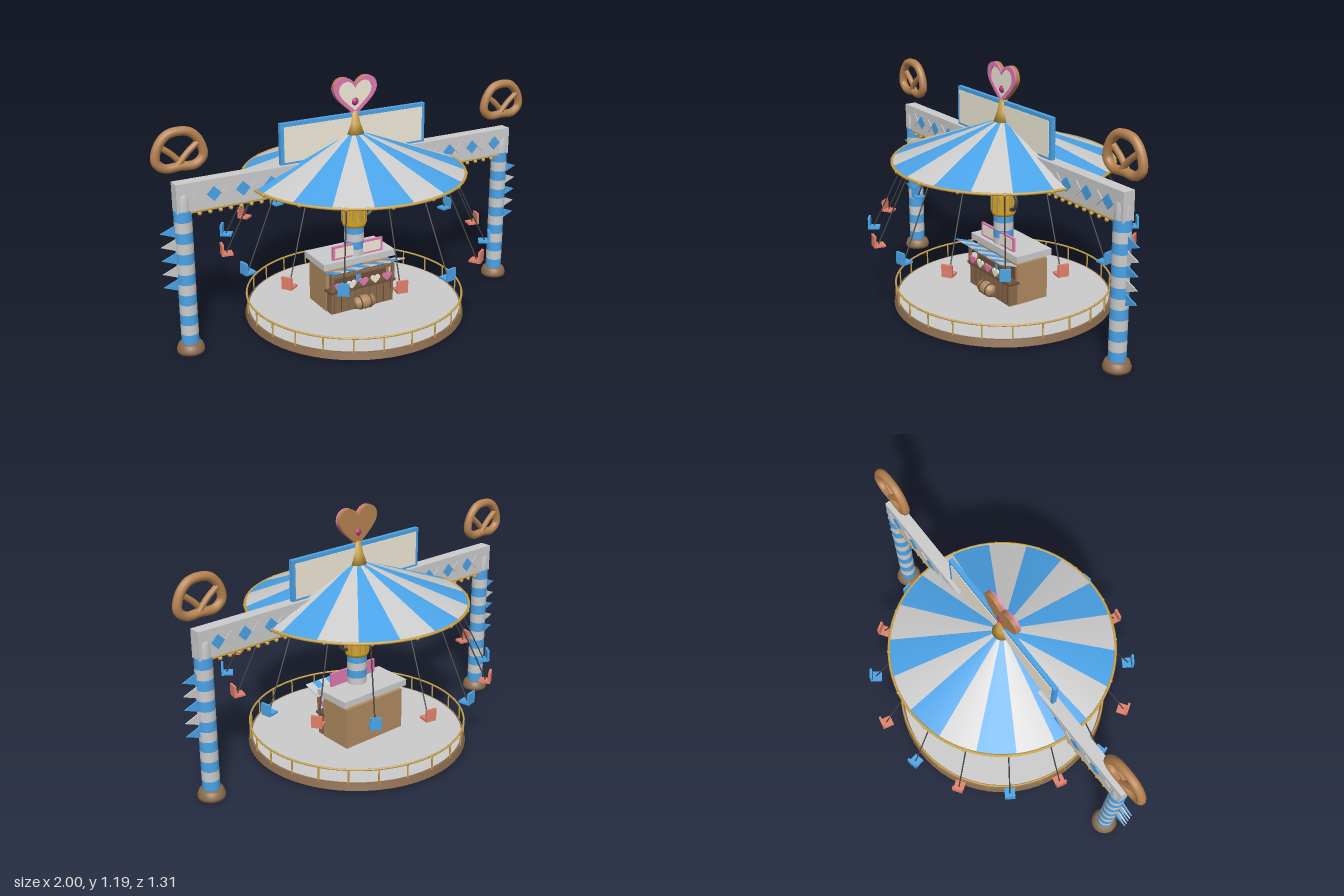
import * as THREE from 'three';

const PI = Math.PI;
const C = { grey: 0xcccccc, blue: 0x4aa3e8, gold: 0xc9a24a, beer: 0xd9a520, brown: 0x8a6a4c, dark: 0x6b5038,
  tan: 0xb08a60, dough: 0xb5814f, cream: 0xf0ead8, pink: 0xe07ab0, magenta: 0xb8357f, red: 0xe0806a, iron: 0x444444 };
const mats = {};
const mat = (name) => mats[name] ??= new THREE.MeshStandardMaterial({ color: C[name], side: THREE.DoubleSide });

function add(parent, name, geo, color, x = 0, y = 0, z = 0) {
  const m = new THREE.Mesh(geo, mat(color));
  m.name = name;
  m.position.set(x, y, z);
  parent.add(m);
  return m;
}
const group = (parent, name) => {
  const g = new THREE.Group();
  g.name = name;
  parent.add(g);
  return g;
};
const box = (w, h, d) => new THREE.BoxGeometry(w, h, d);
const cyl = (rt, rb, h, n = 24) => new THREE.CylinderGeometry(rt, rb, h, n);
const lathe = (pts, n = 32) => new THREE.LatheGeometry(pts.map((p) => new THREE.Vector2(...p)), n);
const extrude = (shape, depth) => new THREE.ExtrudeGeometry(shape, { depth, bevelEnabled: false, curveSegments: 12 });

// Thin rod between two points
function rod(parent, name, a, b, r, color) {
  return add(parent, name, new THREE.TubeGeometry(new THREE.LineCurve3(a, b), 1, r, 6), color);
}

function heartPath(s, Type = THREE.Shape) {
  const p = new Type();
  p.moveTo(0, -0.85 * s);
  p.bezierCurveTo(-0.35 * s, -0.5 * s, -s, -0.1 * s, -s, 0.3 * s);
  p.bezierCurveTo(-s, 0.85 * s, -0.25 * s, 0.95 * s, 0, 0.4 * s);
  p.bezierCurveTo(0.25 * s, 0.95 * s, s, 0.85 * s, s, 0.3 * s);
  p.bezierCurveTo(s, -0.1 * s, 0.35 * s, -0.5 * s, 0, -0.85 * s);
  return p;
}

function polygon(pts) {
  return new THREE.Shape(pts.map((p) => new THREE.Vector2(...p)));
}

// Alternating coloured bands stacked into a column
function bands(parent, name, r, y0, h, count, first = 0) {
  for (let i = 0; i < count; i++)
    add(parent, name, cyl(r, r, h), (i + first) % 2 ? 'grey' : 'blue', 0, y0 + (i + 0.5) * h, 0);
}

function platform(root) {
  const g = group(root, 'platform');
  add(g, 'platformBase', cyl(0.535, 0.545, 0.033, 64), 'brown', 0, 0.0265, 0);
  add(g, 'platformFloor', cyl(0.525, 0.525, 0.004, 64), 'grey', 0, 0.043, 0);
  add(g, 'railing', new THREE.TorusGeometry(0.535, 0.005, 8, 64), 'gold', 0, 0.114, 0).rotation.x = PI / 2;
  for (let i = 0; i < 24; i++) {
    const a = (i * PI) / 12;
    add(g, 'railingPost', cyl(0.004, 0.004, 0.075, 8), 'gold', 0.535 * Math.sin(a), 0.077, 0.535 * Math.cos(a));
  }
}

function booth(root) {
  const g = group(root, 'booth');
  add(g, 'boothBody', box(0.36, 0.21, 0.175), 'tan', 0, 0.148, -0.047);
  add(g, 'boothOpening', box(0.32, 0.07, 0.004), 'dark', 0, 0.205, 0.042);
  add(g, 'counter', box(0.35, 0.11, 0.045), 'brown', 0, 0.1, 0.063);
  add(g, 'counterTop', box(0.37, 0.012, 0.06), 'dark', 0, 0.16, 0.065);
  for (let i = -4; i <= 4; i++) add(g, 'plankGap', box(0.003, 0.1, 0.003), 'dark', i * 0.04, 0.1, 0.086);
  for (const s of [-1, 1]) add(g, 'boothPost', box(0.015, 0.1, 0.012), 'brown', s * 0.17, 0.2, 0.088);
  add(g, 'heartRail', box(0.35, 0.014, 0.01), 'brown', 0, 0.24, 0.088);
  for (let i = -2; i <= 2; i++)
    add(g, 'biscuitHeart', extrude(heartPath(0.026), 0.008), i % 2 ? 'cream' : 'pink', i * 0.067, 0.187, 0.09);
  add(g, 'roof', box(0.4, 0.033, 0.205), 'grey', 0, 0.288, -0.042);
  // Striped flap raised towards the front
  const awning = group(g, 'awning');
  awning.position.set(0, 0.274, 0.107);
  awning.rotation.x = -0.34;
  for (let i = 0; i < 10; i++) add(awning, 'awningStripe', box(0.04, 0.005, 0.1), i % 2 ? 'grey' : 'blue', -0.18 + i * 0.04);
  // Sign on the roof
  add(g, 'roofSignFrame', box(0.28, 0.07, 0.012), 'pink', 0, 0.34, 0.032);
  add(g, 'roofSignPanel', box(0.255, 0.05, 0.004), 'cream', 0, 0.34, 0.039);
  // Barrel lying in front of the counter
  const barrel = group(g, 'barrel');
  barrel.position.set(0, 0.08, 0.098);
  barrel.rotation.z = PI / 2;
  add(barrel, 'barrelBody', lathe([[0, -0.05], [0.028, -0.05], [0.036, 0], [0.028, 0.05], [0, 0.05]], 20), 'tan');
  for (const s of [-1, 1]) add(barrel, 'barrelHoop', cyl(0.035, 0.035, 0.006, 20), 'dark', 0, s * 0.026, 0);
}

function mast(root) {
  const g = group(root, 'mast');
  add(g, 'mastCore', cyl(0.046, 0.046, 0.9), 'blue', 0, 0.455, 0);
  bands(g, 'mastBand', 0.049, 0.3, 0.04, 4, 1);
  add(g, 'mugGlass', lathe([[0, 0.455], [0.056, 0.455], [0.06, 0.47], [0.056, 0.54], [0.062, 0.615], [0, 0.615]]), 'beer');
  for (let i = 0; i < 12; i++) {
    const a = (i * PI) / 6;
    add(g, 'mugRib', cyl(0.007, 0.007, 0.13, 8), 'gold', 0.056 * Math.sin(a), 0.537, 0.056 * Math.cos(a));
  }
  add(g, 'mugFoam', lathe([[0, 0.605], [0.062, 0.605], [0.068, 0.625], [0.062, 0.645], [0.052, 0.66], [0, 0.66]]), 'cream');
  add(g, 'mastCollar', cyl(0.052, 0.052, 0.05), 'grey', 0, 0.67, 0);
  add(g, 'mastRing', cyl(0.07, 0.062, 0.032), 'gold', 0, 0.695, 0);
  add(g, 'mugHandle', new THREE.TorusGeometry(0.046, 0.009, 8, 24, PI), 'iron', 0.062, 0.54, 0).rotation.z = -PI / 2;
}

function canopy(root) {
  const g = group(root, 'canopy');
  const n = 18, step = (2 * PI) / n;
  for (let i = 0; i < n; i++)
    add(g, 'canopyStripe', new THREE.CylinderGeometry(0.03, 0.53, 0.19, 4, 1, true, i * step, step), i % 2 ? 'blue' : 'grey', 0, 0.833, 0);
  add(g, 'canopyRim', new THREE.TorusGeometry(0.533, 0.007, 8, 72), 'gold', 0, 0.735, 0).rotation.x = PI / 2;
  add(g, 'finial', lathe([[0, 0.92], [0.048, 0.92], [0.03, 0.97], [0.018, 1.03], [0, 1.035]]), 'gold');

  // Gingerbread heart on top
  const h = group(g, 'topHeart');
  h.position.y = 1.107;
  add(h, 'heartBiscuit', extrude(heartPath(0.115), 0.018), 'dough', 0, 0, -0.012);
  const border = heartPath(0.115);
  border.holes.push(heartPath(0.088, THREE.Path));
  add(h, 'heartIcing', extrude(border, 0.009), 'pink', 0, 0, 0.006);
  add(h, 'heartFace', extrude(heartPath(0.09), 0.004), 'cream', 0, 0, 0.006);
  add(h, 'heartBead', new THREE.SphereGeometry(0.021, 20, 14), 'magenta', 0, -0.032, 0);

  // Swings leaning outwards
  for (let i = 0; i < 16; i++) {
    const s = group(g, 'swing');
    s.rotation.y = ((i + 0.5) * PI) / 8;
    const color = i % 2 ? 'red' : 'blue';
    rod(s, 'swingChain', new THREE.Vector3(0, 0.745, 0.465), new THREE.Vector3(0, 0.393, 0.635), 0.0032, 'iron');
    add(s, 'swingSeat', box(0.05, 0.01, 0.055), color, 0, 0.388, 0.633);
    add(s, 'swingBack', box(0.05, 0.056, 0.011), color, 0, 0.412, 0.655);
    add(s, 'rimBulb', new THREE.SphereGeometry(0.01, 10, 8), 'gold', 0, 0.733, 0.533);
  }
}

function pretzel(parent, x) {
  const g = group(parent, 'pretzel');
  g.position.x = x;
  const half = [[-0.07, 0.896], [-0.108, 0.93], [-0.096, 0.995], [-0.055, 1.042]];
  const pts = [[0, 0.897], ...half, [0, 1.054], ...half.map(([a, b]) => [-a, b]).reverse()];
  const v = ([a, b]) => new THREE.Vector3(a, b, 0);
  add(g, 'pretzelLoop', new THREE.TubeGeometry(new THREE.CatmullRomCurve3(pts.map(v), true), 64, 0.021, 12, true), 'dough');
  for (const s of [-1, 1]) {
    const arm = new THREE.CatmullRomCurve3([[s * 0.085, 0.995], [s * 0.035, 0.955], [-s * 0.015, 0.9]].map(v));
    add(g, 'pretzelArm', new THREE.TubeGeometry(arm, 12, 0.014, 10), 'dough', 0, 0, s * 0.005);
  }
}

function arch(root) {
  const g = group(root, 'arch');
  add(g, 'beam', box(1.81, 0.135, 0.06), 'grey', 0, 0.756, 0);
  add(g, 'beamTrim', box(1.7, 0.008, 0.066), 'gold', 0, 0.687, 0);
  const diamond = extrude(polygon([[0, -0.035], [0.035, 0], [0, 0.035], [-0.035, 0]]), 0.005);
  for (let i = 0; i < 24; i++)
    for (const z of [0.029, -0.034]) add(g, 'diamond', diamond, i % 2 ? 'blue' : 'grey', -0.8 + 0.07 * i, 0.757, z);
  for (let i = -16; i <= 16; i++)
    for (const z of [-0.026, 0.026]) add(g, 'beamBulb', new THREE.SphereGeometry(0.01, 10, 8), 'gold', i * 0.05, 0.674, z);

  // Sign above the beam
  add(g, 'signFrame', box(0.78, 0.2, 0.022), 'blue', 0, 0.92, 0);
  add(g, 'signPanel', box(0.745, 0.168, 0.028), 'cream', 0, 0.918, 0);

  const flag = extrude(polygon([[0, -0.03], [0.075, 0], [0, 0.03]]), 0.006);
  for (const s of [-1, 1]) {
    const p = group(g, 'tower');
    p.position.x = s * 0.87;
    if (s < 0) p.rotation.y = PI;
    add(p, 'towerFoot', lathe([[0, 0], [0.062, 0], [0.065, 0.015], [0.056, 0.04], [0.042, 0.048], [0, 0.048]]), 'brown');
    bands(p, 'towerBand', 0.041, 0.045, 0.05, 13);
    add(p, 'towerTop', lathe([[0.036, 0.69], [0.036, 0.76], [0.025, 0.785], [0, 0.8]]), 'grey');
    for (let i = 0; i < 5; i++) add(p, 'pennant', flag, i % 2 ? 'grey' : 'blue', 0.034, 0.6 - i * 0.0645, -0.003);
    pretzel(g, s * 0.868);
  }
}

export function createModel() {
  const root = new THREE.Group();
  root.name = 'swingCarousel';
  platform(root);
  booth(root);
  mast(root);
  canopy(root);
  arch(root);
  return root;
}
